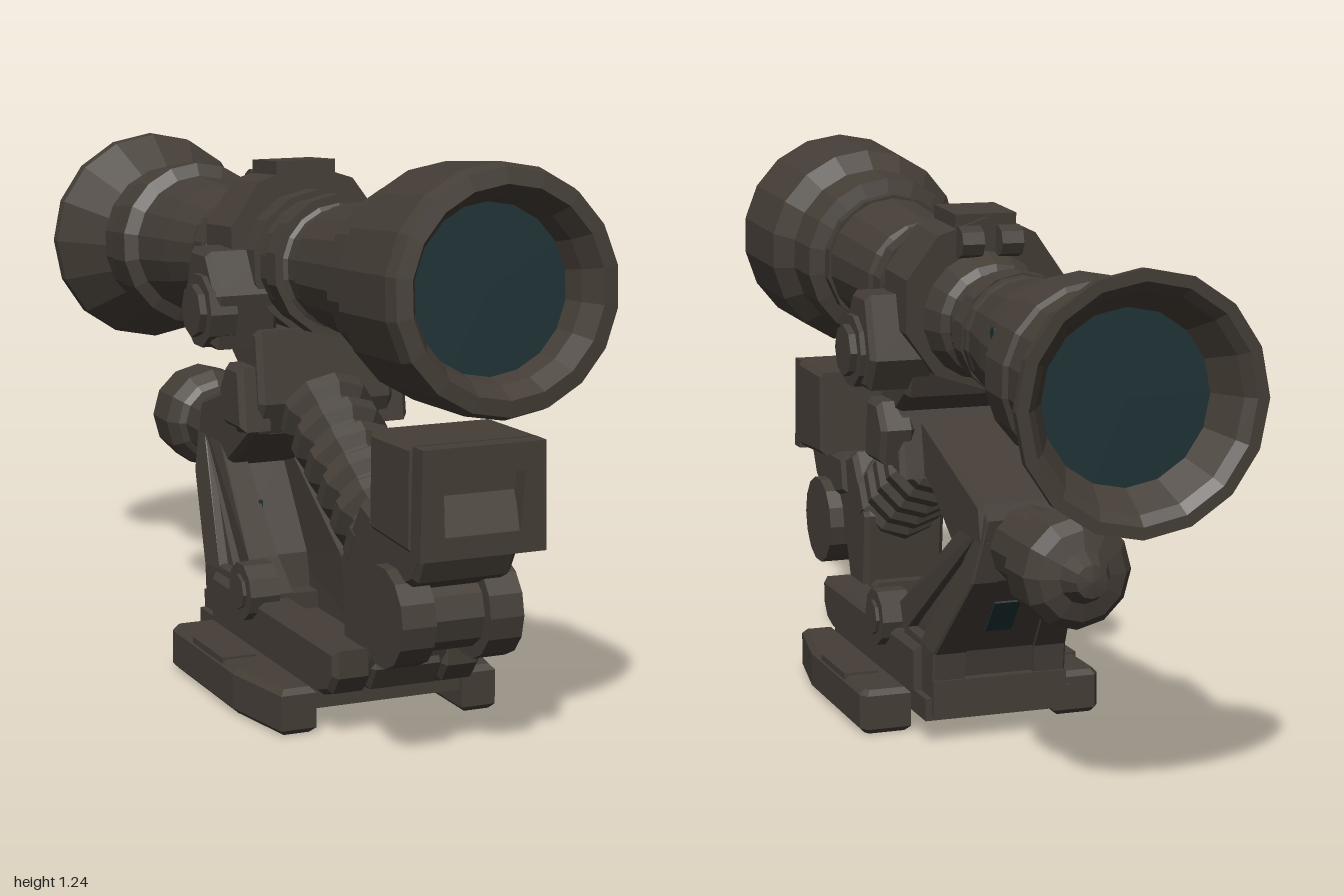
import * as THREE from 'three';

const body = new THREE.MeshStandardMaterial({ color: 0x453e37, flatShading: true });
body.name = 'dark brown metal';
const glass = new THREE.MeshStandardMaterial({ color: 0x1f3235, flatShading: true });
glass.name = 'teal glass';

export function createModel() {
  const model = new THREE.Group();
  model.name = 'scopeOnMount';

  function add(name, geo, parent = model, mat = body) {
    const m = new THREE.Mesh(geo, mat);
    m.name = name;
    parent.add(m);
    return m;
  }
  // Box from its limits
  function box(name, x0, x1, y0, y1, z0, z1, parent) {
    const g = new THREE.BoxGeometry(x1 - x0, y1 - y0, z1 - z0);
    g.translate((x0 + x1) / 2, (y0 + y1) / 2, (z0 + z1) / 2);
    return add(name, g, parent);
  }
  // Side outline given as [z, y], extruded across x with a small bevel
  function slab(name, pts, x0, x1, hole, bevel = 0.012, mat = body) {
    const shape = new THREE.Shape(pts.map(p => new THREE.Vector2(p[0], p[1])));
    if (hole) shape.holes.push(new THREE.Path(hole.map(p => new THREE.Vector2(p[0], p[1]))));
    const g = new THREE.ExtrudeGeometry(shape, {
      depth: x1 - x0 - 2 * bevel, bevelEnabled: bevel > 0, bevelSegments: 1,
      bevelSize: bevel, bevelThickness: bevel, bevelOffset: -bevel,
    });
    g.translate(0, 0, bevel - (x1 - x0) / 2);
    g.rotateY(-Math.PI / 2);
    g.translate((x0 + x1) / 2, 0, 0);
    return add(name, g, model, mat);
  }
  // Draws a part in towards the middle as it rises
  function taper(mesh) {
    const p = mesh.geometry.attributes.position;
    for (let i = 0; i < p.count; i++) {
      p.setX(i, p.getX(i) * (1 - 1.15 * Math.max(0, p.getY(i) - 0.2)));
    }
    mesh.geometry.computeVertexNormals();
  }
  // Turned part along z from [radius, z] pairs, z rising on outer walls
  function turned(name, pts, sides, parent) {
    const g = new THREE.LatheGeometry(pts.map(p => new THREE.Vector2(p[0], p[1])), sides);
    g.rotateX(Math.PI / 2);
    return add(name, g, parent);
  }
  // Cylinder along x
  function drum(name, r, x0, x1, y, z, sides, parent) {
    const g = new THREE.CylinderGeometry(r, r, Math.abs(x1 - x0), sides);
    g.rotateZ(Math.PI / 2);
    g.translate((x0 + x1) / 2, y, z);
    return add(name, g, parent);
  }

  // Scope, tilted slightly nose up
  const scope = new THREE.Group();
  scope.name = 'scope';
  scope.position.y = 0.933;
  scope.rotation.x = -0.0675;
  model.add(scope);
  turned('scopeTube', [
    [0, -0.84], [0.172, -0.84], [0.185, -0.825], [0.183, -0.75], [0.194, -0.745], [0.196, -0.655],
    [0.165, -0.64], [0.15, -0.5], [0.127, -0.375], [0.13, -0.365], [0.13, -0.275], [0.107, -0.26],
    [0.107, -0.2], [0.125, -0.19], [0.145, -0.12], [0.145, 0.19], [0.126, 0.2],
    [0.126, 0.25], [0.14, 0.27], [0.156, 0.55], [0.195, 0.56], [0.2, 0.67],
    [0.24, 0.72], [0.247, 0.95], [0.238, 0.98], [0.205, 0.985], [0.18, 0.94], [0.165, 0.88],
  ], 18, scope);
  // Raised bands along the tube
  for (const [z, r, w] of [[0.17, 0.155, 0.05], [0.06, 0.16, 0.06], [-0.32, 0.134, 0.05], [0.53, 0.162, 0.03]]) {
    const g = new THREE.CylinderGeometry(r, r, w, 14);
    g.rotateX(Math.PI / 2);
    g.translate(0, 0, z);
    add('tubeBand', g, scope);
  }
  const frontLens = add('frontLens', new THREE.CircleGeometry(0.176, 12), scope, glass);
  frontLens.position.z = 0.895;
  const dot = add('indicator', new THREE.CylinderGeometry(0.014, 0.014, 0.008, 6).rotateZ(Math.PI / 2), scope, glass);
  dot.position.set(0.148, 0.06, -0.58);

  // Flared eyecup, level with the ground
  const eyecup = new THREE.Group();
  eyecup.name = 'eyecup';
  eyecup.position.y = 0.868;
  model.add(eyecup);
  turned('eyecupFlare', [
    [0.15, -0.86], [0.17, -0.9], [0.215, -0.98], [0.235, -1], [0.26, -1], [0.258, -0.975], [0.17, -0.85], [0.165, -0.82],
  ], 16, eyecup);
  const rearLens = add('rearLens', new THREE.CircleGeometry(0.185, 16), eyecup, glass);
  rearLens.position.z = -0.91;
  rearLens.rotation.y = Math.PI;

  // Clamp collar around the tube
  const collar = new THREE.CylinderGeometry(0.19, 0.19, 0.15, 10);
  collar.rotateX(Math.PI / 2);
  collar.translate(0, 0.025, -0.055);
  add('clampCollar', collar, scope);
  box('topLug', -0.07, 0.07, 0.17, 0.222, -0.12, 0.02, scope);
  for (const s of [-1, 1]) {
    drum('topScrew', 0.035, s * 0.02, s * 0.07, 0.165, -0.14, 8, scope);
    // Side adjusters
    slab('adjusterHousing', [[-0.1, 0.83], [-0.06, 0.97], [0.04, 0.97], [0.1, 0.88], [0.08, 0.76], [-0.06, 0.76]],
      s > 0 ? 0.1 : -0.25, s > 0 ? 0.25 : -0.1);
    drum('adjusterKnob', 0.082, s * 0.2, s * 0.262, 0.84, 0.02, 10);
    drum('adjusterCap', 0.058, s * 0.25, s * 0.278, 0.84, 0.02, 8);
    // Clamp feet
    slab('clampFoot', [[0.12, 0.58], [0.0, 0.58], [-0.02, 0.66], [0.02, 0.72], [0.1, 0.72]],
      s > 0 ? 0.12 : -0.2, s > 0 ? 0.2 : -0.12);
  }
  slab('saddle', [[0.11, 0.8], [-0.08, 0.8], [-0.06, 0.74], [0.0, 0.7], [-0.03, 0.55], [0.1, 0.57], [0.13, 0.64]], -0.16, 0.16);

  // Linkage frame
  slab('upperArm', [[0.02, 0.69], [-0.38, 0.56], [-0.4, 0.48], [-0.3, 0.41], [-0.2, 0.44], [-0.05, 0.54], [0.02, 0.55]], -0.105, 0.105);
  const lower = [[0.12, 0.1], [0.12, 0.21], [0.02, 0.27], [-0.35, 0.56], [-0.41, 0.53], [-0.38, 0.39], [-0.23, 0.2], [-0.22, 0.1]];
  for (const s of [-1, 1]) {
    taper(slab('lowerArmFace', lower, s > 0 ? 0.13 : -0.155, s > 0 ? 0.155 : -0.13,
      [[-0.05, 0.22], [-0.14, 0.22], [-0.36, 0.49]], 0.005));
    taper(slab('lowerArmCore', lower, s > 0 ? 0.08 : -0.135, s > 0 ? 0.135 : -0.08, null, 0));
    drum('armPivot', 0.065, s * 0.12, s * 0.19, 0.215, 0.08, 10);
    drum('armPivotCap', 0.04, s * 0.15, s * 0.198, 0.215, 0.08, 8);
  }
  slab('rearWeb', [[-0.3, 0.5], [-0.4, 0.52], [-0.37, 0.39], [-0.22, 0.2], [-0.2, 0.1], [-0.15, 0.1], [-0.17, 0.22]], -0.08, 0.08, null, 0);
  // Small panes on the web and the inner arm wall
  slab('webPane', [[-0.325, 0.333], [-0.265, 0.257], [-0.269, 0.254], [-0.329, 0.33]], -0.01, 0.05, null, 0, glass);
  const armPane = add('armPane', new THREE.BoxGeometry(0.009, 0.06, 0.06), model, glass);
  armPane.position.set(-0.065, 0.34, -0.13);

  // Rear knob
  const knob = turned('rearKnob', [
    [0, -0.755], [0.035, -0.75], [0.055, -0.71], [0.095, -0.7], [0.118, -0.67], [0.12, -0.57],
    [0.1, -0.54], [0.085, -0.53], [0.088, -0.4], [0.06, -0.36], [0, -0.36],
  ], 12);
  knob.position.y = 0.47;

  // Base tray
  box('baseFloor', -0.17, 0.17, 0.05, 0.1, -0.22, 0.45);
  box('rearFoot', -0.155, 0.155, 0.06, 0.14, -0.23, -0.11);
  slab('trayFront', [[0.53, 0.21], [0.55, 0.15], [0.52, 0.1], [0.4, 0.09], [0.4, 0.21]], -0.085, 0.085);
  for (const s of [-1, 1]) {
    slab('traySide', [[0.55, 0.2], [0.55, 0.14], [0.52, 0.1], [0.47, 0.085], [-0.15, 0.085], [-0.15, 0.2]],
      s > 0 ? 0.08 : -0.17, s > 0 ? 0.17 : -0.08);
    // Clamping rail, its outer edge drawn in at the front
    const plan = [[0.17, 0.12], [0.27, 0.12], [0.283, 0.1], [0.283, -0.27], [0.25, -0.46], [0.17, -0.46]];
    const rail = new THREE.ExtrudeGeometry(
      new THREE.Shape(plan.map(p => new THREE.Vector2(s * p[0], p[1]))),
      { depth: 0.076, bevelSize: 0.012, bevelThickness: 0.012, bevelOffset: -0.012, bevelSegments: 1 });
    rail.rotateX(-Math.PI / 2);
    rail.translate(0, 0.012, 0);
    add('rail', rail);
    box('railGrip', s > 0 ? 0.2 : -0.28, s > 0 ? 0.28 : -0.2, 0.01, 0.105, 0.02, 0.2);
  }

  // Ribbed sleeve between saddle and front joint
  const ribs = [[0, -0.24]];
  for (let i = 0; i < 6; i++) {
    const z = -0.24 + i * 0.08;
    ribs.push([0.085, z], [0.107, z + 0.02], [0.107, z + 0.05], [0.085, z + 0.07]);
  }
  ribs.push([0, 0.24]);
  const sleeve = turned('ribbedSleeve', ribs, 10);
  sleeve.position.set(0, 0.505, 0.3);
  sleeve.rotation.x = 0.53;

  // Front joint and roller
  slab('frontJoint', [[0.61, 0.48], [0.52, 0.51], [0.42, 0.37], [0.44, 0.15], [0.54, 0.15], [0.58, 0.26], [0.66, 0.3], [0.66, 0.42]], -0.1, 0.1);
  for (const s of [-1, 1]) drum('rollerDisc', 0.106, s * 0.06, s * 0.135, 0.31, 0.7, 14);
  drum('rollerAxle', 0.08, -0.07, 0.07, 0.31, 0.7, 10);
  slab('boxBracket', [[0.84, 0.48], [0.8, 0.4], [0.72, 0.36], [0.56, 0.4], [0.58, 0.49]], -0.11, 0.11);

  // Sensor box with a sunken front window and sloping sill
  slab('sensorBox', [[0.85, 0.47], [0.85, 0.69], [0.65, 0.685], [0.65, 0.48]], -0.14, 0.14);
  const face = new THREE.Shape([[-0.138, 0.465], [0.138, 0.465], [0.134, 0.688], [-0.134, 0.688]].map(p => new THREE.Vector2(...p)));
  face.holes.push(new THREE.Path([[-0.085, 0.51], [-0.09, 0.65], [0.09, 0.63], [0.08, 0.51]].map(p => new THREE.Vector2(...p))));
  const bezel = add('sensorBezel', new THREE.ExtrudeGeometry(face, { depth: 0.045, bevelEnabled: false }));
  bezel.position.z = 0.843;
  slab('windowSill', [[0.885, 0.508], [0.848, 0.59], [0.848, 0.508]], -0.084, 0.084, null, 0);

  return model;
}
